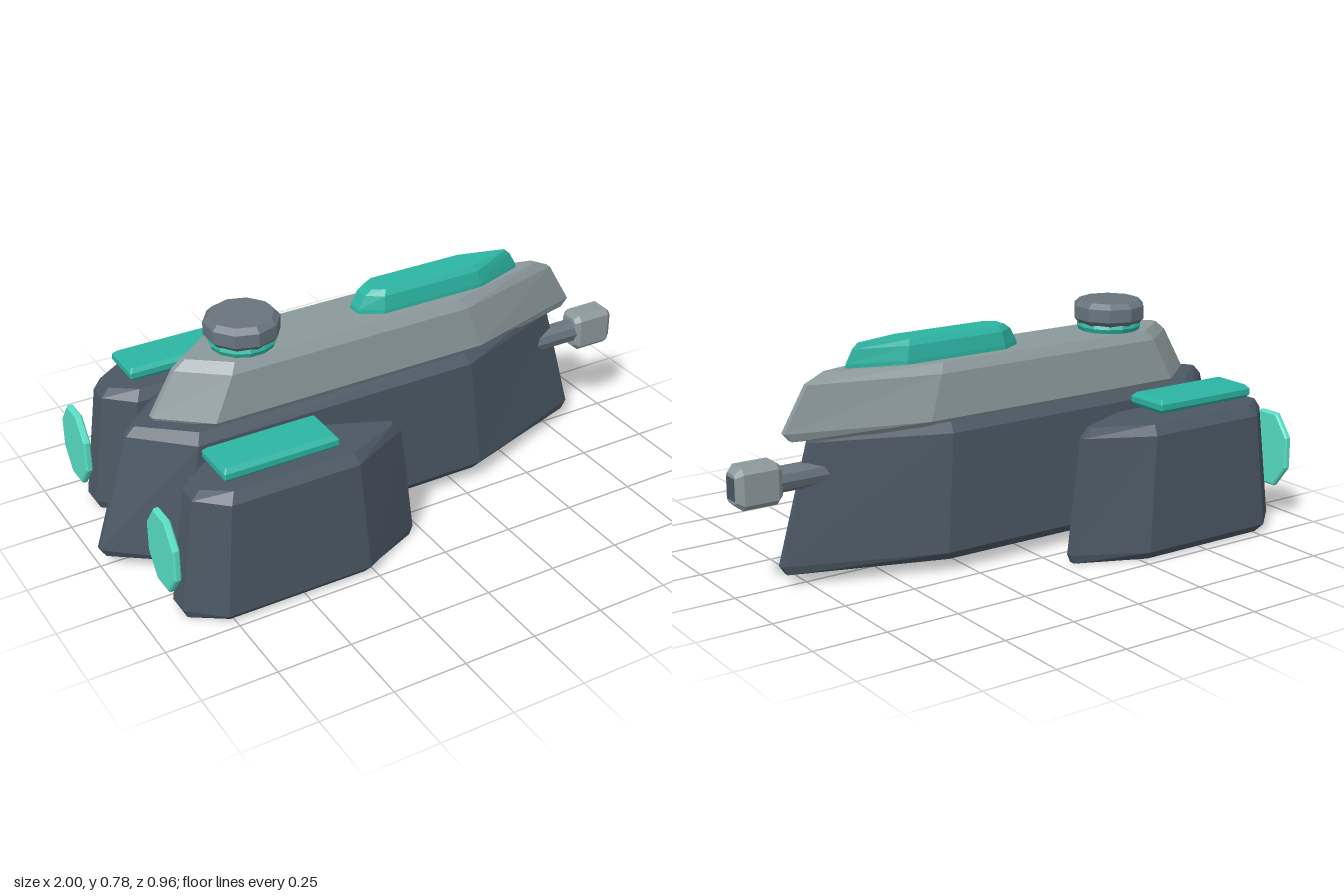
import * as THREE from 'three';

const paint = (color) => new THREE.MeshStandardMaterial({ color, flatShading: true, side: THREE.DoubleSide });
const NAVY = paint(0x4a5764), GREY = paint(0x8c999c), STEEL = paint(0x68747e);
const TEAL = paint(0x2cb5a3), GLOW = paint(0x58e0c6);

// Joins rings of [x, z] points stacked in y, and caps both ends
function loft(levels) {
  const out = [];
  const n = levels[0].ring.length;
  const p = (l, i) => [l.ring[i % n][0], l.y, l.ring[i % n][1]];
  for (let k = 0; k + 1 < levels.length; k++) {
    const a = levels[k], b = levels[k + 1];
    for (let i = 0; i < n; i++) {
      out.push(...p(a, i), ...p(a, i + 1), ...p(b, i + 1));
      out.push(...p(a, i), ...p(b, i + 1), ...p(b, i));
    }
  }
  const lo = levels[0], hi = levels[levels.length - 1];
  for (let i = 1; i + 1 < n; i++) {
    out.push(...p(hi, 0), ...p(hi, i), ...p(hi, i + 1));
    out.push(...p(lo, 0), ...p(lo, i + 1), ...p(lo, i));
  }
  const g = new THREE.BufferGeometry();
  g.setAttribute('position', new THREE.Float32BufferAttribute(out, 3));
  g.computeVertexNormals();
  return g;
}

// Boat-shaped body; rows: y, tail x, rear shoulder x, front shoulder x, nose x, half width
const boat = (rows, tailHalf, noseHalf) => loft(rows.map(([y, t, ts, ns, n, w]) => ({
  y,
  ring: [[t, tailHalf], [ts, w], [ns, w], [n, noseHalf], [n, -noseHalf], [ns, -w], [ts, -w], [t, -tailHalf]],
})));

// Rectangle with cut corners
const cutRect = (a, b, c) => [[-a, b - c], [-a + c, b], [a - c, b], [a, b - c], [a, c - b], [a - c, -b], [c - a, -b], [-a, c - b]];

export function createModel() {
  const model = new THREE.Group();
  const add = (name, geo, mat, x = 0, y = 0, z = 0) => {
    const m = new THREE.Mesh(geo, mat);
    m.name = name;
    m.position.set(x, y, z);
    model.add(m);
    return m;
  };

  // Main body
  add('hull', boat([
    [0.04, -0.98, -0.76, 0.32, 0.82, 0.175],
    [0.07, -1.0, -0.78, 0.335, 0.84, 0.198],
    [0.46, -0.88, -0.71, 0.3, 0.73, 0.175],
    [0.49, -0.85, -0.69, 0.29, 0.7, 0.145],
  ], 0.01, 0.01), NAVY);
  add('upperDeck', boat([
    [0.472, -0.77, -0.62, 0.35, 0.79, 0.12],
    [0.5, -0.79, -0.63, 0.36, 0.815, 0.143],
    [0.645, -0.705, -0.56, 0.31, 0.73, 0.126],
    [0.677, -0.665, -0.54, 0.29, 0.66, 0.105],
  ], 0.01, 0.01), GREY);
  add('canopy', boat([
    [0.66, -0.055, 0.02, 0.405, 0.59, 0.07],
    [0.69, -0.05, 0.025, 0.4, 0.585, 0.068],
    [0.735, -0.025, 0.03, 0.39, 0.56, 0.06],
    [0.753, 0, 0.04, 0.38, 0.54, 0.047],
  ], 0.025, 0.004), TEAL);

  // Turret on the rear deck
  const collar = new THREE.TorusGeometry(0.086, 0.026, 8, 14);
  collar.rotateX(Math.PI / 2);
  add('turretCollar', collar, TEAL, -0.46, 0.692, 0);
  const cap = [[0, 0.698], [0.105, 0.698], [0.124, 0.718], [0.124, 0.762], [0.105, 0.78], [0, 0.78]];
  add('turretCap', new THREE.LatheGeometry(cap.map(([r, y]) => new THREE.Vector2(r, y)), 10), STEEL, -0.46, 0, 0);

  // Nose gun
  const barrel = new THREE.CylinderGeometry(0.042, 0.042, 0.24, 10);
  barrel.rotateZ(Math.PI / 2);
  add('gunBarrel', barrel, STEEL, 0.76, 0.357, 0);
  const muzzle = loft([
    { y: 0.84, ring: cutRect(0.053, 0.036, 0.012) },
    { y: 0.858, ring: cutRect(0.068, 0.05, 0.018) },
    { y: 0.975, ring: cutRect(0.068, 0.05, 0.018) },
    { y: 0.997, ring: cutRect(0.048, 0.032, 0.01) },
  ]);
  muzzle.rotateZ(-Math.PI / 2);
  add('gunMuzzle', muzzle, GREY, 0, 0.357, 0);
  add('gunBore', new THREE.BoxGeometry(0.01, 0.072, 0.048), NAVY, 0.995, 0.357, 0);

  // Side pods with strut, top plate and rear thruster disc
  const oval = (s) => Array.from({ length: 8 }, (_, i) => {
    const a = (i + 0.5) * Math.PI / 4;
    return [0.142 * s * Math.cos(a), -0.105 * s * Math.sin(a)];
  });
  for (const side of [1, -1]) {
    const tag = side > 0 ? 'right' : 'left';
    const z = side * 0.345;
    add(tag + 'Pod', boat([
      [0, -0.87, -0.76, -0.28, -0.05, 0.11],
      [0.03, -0.885, -0.775, -0.27, -0.037, 0.136],
      [0.42, -0.83, -0.74, -0.3, -0.085, 0.12],
      [0.453, -0.805, -0.72, -0.31, -0.115, 0.095],
    ], 0.035, 0.01), NAVY, 0, 0, z);

    const strut = new THREE.CylinderGeometry(1, 1, 0.17, 12);
    strut.rotateX(Math.PI / 2);
    strut.scale(0.082, 0.115, 1);
    add(tag + 'Strut', strut, STEEL, -0.45, 0.285, side * 0.2);

    add(tag + 'TopPlate', loft([
      { y: 0.475, ring: cutRect(0.185, 0.067, 0.004) },
      { y: 0.488, ring: cutRect(0.196, 0.08, 0.004) },
      { y: 0.507, ring: cutRect(0.196, 0.08, 0.004) },
      { y: 0.52, ring: cutRect(0.185, 0.067, 0.004) },
    ]), TEAL, -0.545, 0, z);

    const disc = loft([
      { y: -0.929, ring: oval(0.95) },
      { y: -0.924, ring: oval(1) },
      { y: -0.91, ring: oval(1) },
      { y: -0.905, ring: oval(0.95) },
    ]);
    disc.rotateZ(-Math.PI / 2);
    add(tag + 'ThrusterDisc', disc, GLOW, 0, 0.252, z);
  }
  return model;
}
